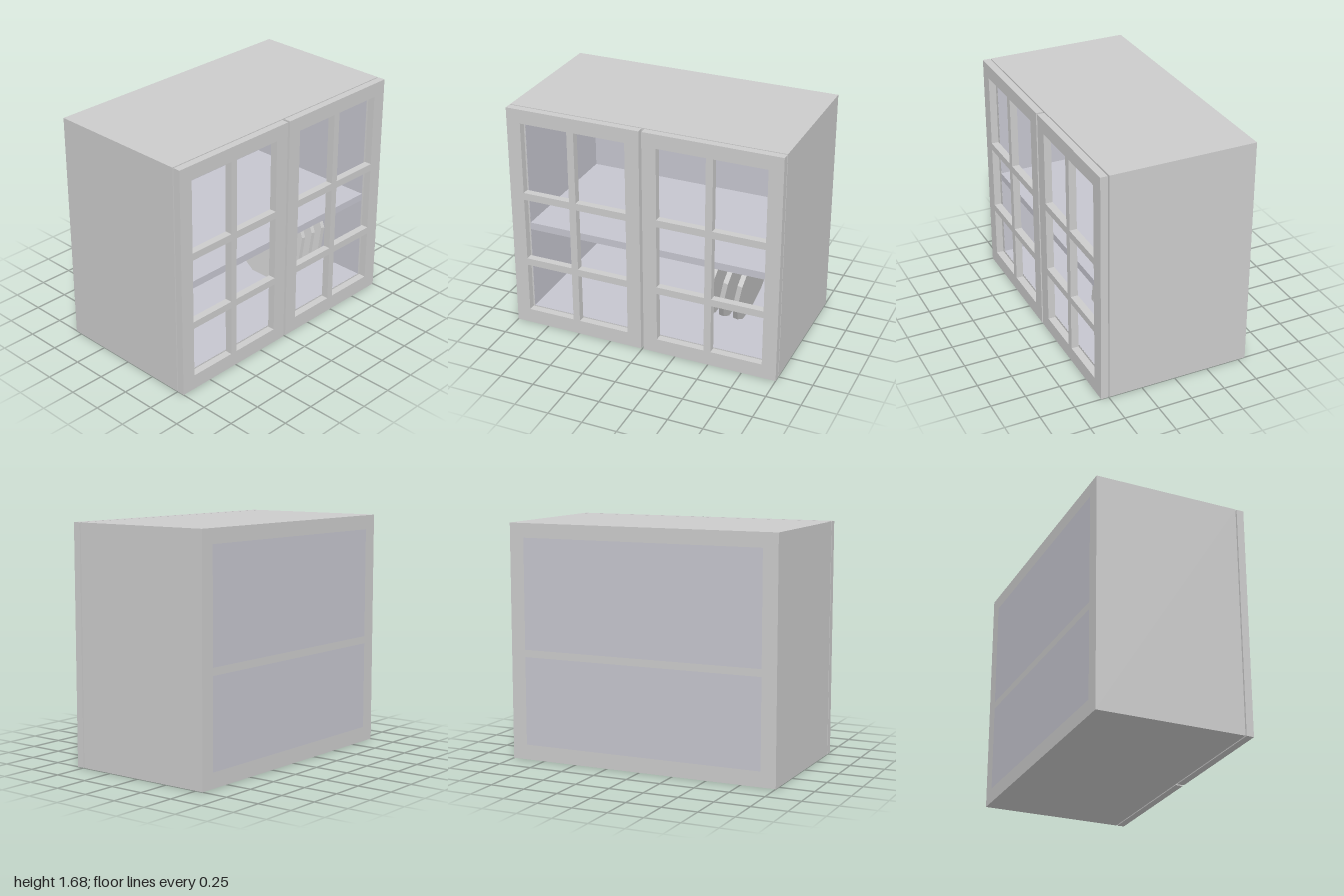
import * as THREE from 'three';

const grey = new THREE.MeshStandardMaterial({ color: 0xcccccc, flatShading: true });
const tint = new THREE.MeshStandardMaterial({ color: 0xc5c5ce, flatShading: true });

const H = 1.685, BACK = -0.555, FRONT = 0.493;
const IN = { x: 0.892, y0: 0.108, y1: 1.583 };   // cavity limits
const SHELF = { y0: 0.74, y1: 0.793 };

function tracePath(path, [x0, y0, x1, y1]) {
  path.moveTo(x0, y0);
  path.lineTo(x1, y0);
  path.lineTo(x1, y1);
  path.lineTo(x0, y1);
  path.closePath();
  return path;
}

// Rectangular slab [x0, y0, x1, y1] with rectangular openings, extruded from z0 to z1
function slab(name, outer, holes, z0, z1, material) {
  const shape = tracePath(new THREE.Shape(), outer);
  holes.forEach(h => shape.holes.push(tracePath(new THREE.Path(), h)));
  const geo = new THREE.ExtrudeGeometry(shape, { depth: z1 - z0, bevelEnabled: false });
  geo.translate(0, 0, z0);
  const mesh = new THREE.Mesh(geo, material);
  mesh.name = name;
  return mesh;
}

// Door frame with a 2 x 3 grid of open panes
function door(name, x) {
  const cols = [[0.103, 0.457], [0.508, 0.886]];
  const rows = [[0.108, 0.48], [0.532, 1.002], [1.055, 1.583]];
  const panes = cols.flatMap(([a, b]) => rows.map(([c, d]) => [x + a, c, x + b, d]));
  return slab(name, [x, 0, x + 0.99, H], panes, 0.502, 0.555, grey);
}

export function createModel() {
  const group = new THREE.Group();
  group.name = 'displayCabinet';
  const cavity = [-IN.x, IN.y0, IN.x, IN.y1];

  // Carcass: four thick walls
  group.add(slab('carcass', [-1, 0, 1, H], [cavity], BACK, FRONT, grey));

  // Thin tinted lining on the inner walls
  const t = 0.002;
  group.add(slab('lining', cavity,
    [[-IN.x + t, IN.y0 + t, IN.x - t, IN.y1 - t]], BACK + 0.003, FRONT - 0.001, tint));

  // Back panels above and below the shelf, with the strip between them
  const zb = BACK + 0.005;
  group.add(slab('lowerBackPanel', [-IN.x, IN.y0, IN.x, SHELF.y0], [], BACK, zb, tint));
  group.add(slab('upperBackPanel', [-IN.x, SHELF.y1, IN.x, IN.y1], [], BACK, zb, tint));
  group.add(slab('backStrip', [-IN.x, SHELF.y0, IN.x, SHELF.y1], [], BACK, zb, grey));

  // Shelf, flush with the front of the carcass
  group.add(slab('shelf', [-IN.x, SHELF.y0, IN.x, SHELF.y1], [], zb, FRONT, tint));

  // Pair of doors
  group.add(door('rightDoor', -1), door('leftDoor', 0.01));

  // Three leaning twelve-sided plates on the cabinet floor
  const plateGeo = new THREE.CylinderGeometry(0.34, 0.34, 0.035, 12);
  plateGeo.rotateY(Math.PI / 12);
  plateGeo.rotateZ(Math.PI / 2);
  for (let i = 0; i < 3; i++) {
    const plate = new THREE.Mesh(plateGeo, grey);
    plate.name = `plate${i + 1}`;
    plate.position.set(0.415 + i * 0.106, 0.459, 0.01);
    plate.rotation.z = -0.188;
    group.add(plate);
  }
  return group;
}
